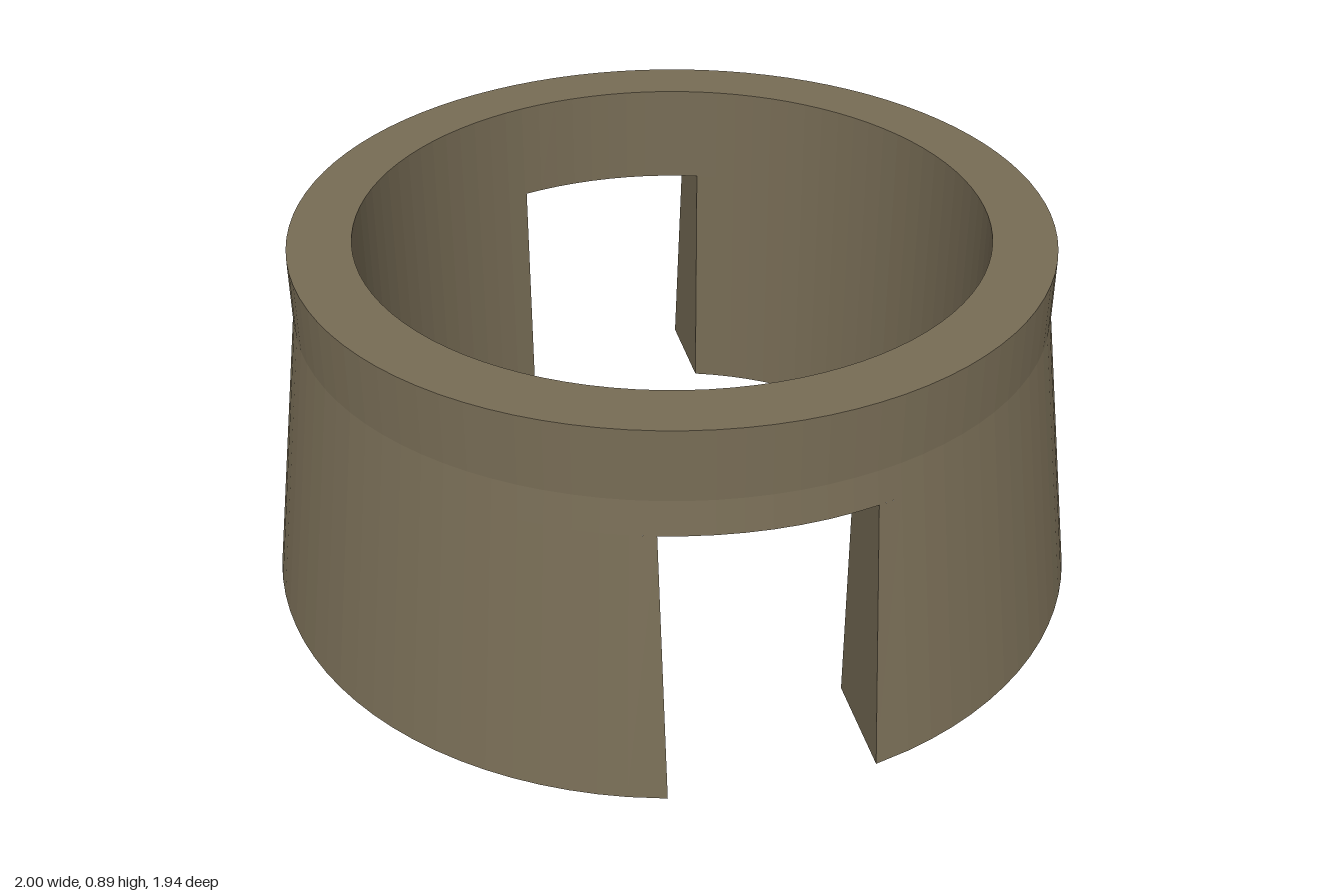
import * as THREE from 'three';

const SEG = 96, STEP = (Math.PI * 2) / SEG;
const HALF_SLOT = 0.237, SLOT_TOP = 0.64, TOP = 0.89, SHOULDER = 0.72;
const R_IN = 0.75, R_TOP = 0.9, R_BASE = 1.0;
const R_SLOT = R_TOP + (R_BASE - R_TOP) * (1 - SLOT_TOP / SHOULDER);

// Angle (from +z) at which a circle of radius r meets the slot's side
const slotAngle = (r) => Math.asin(HALF_SLOT / r);
const at = (r, y, a) => [r * Math.sin(a), y, r * Math.cos(a)];

// Angle lists, one function of radius per station
const grid = (k0, k1) => Array.from({ length: k1 - k0 + 1 }, (_, i) => () => (k0 + i) * STEP);
const fullTurn = grid(0, SEG);
const legTurn = [slotAngle, ...grid(5, SEG / 2 - 5), (r) => Math.PI - slotAngle(r)];
const slotTurn = [(r) => -slotAngle(r), ...grid(-4, 4), slotAngle];

// Sweeps a profile of [radius, height] points around the y axis
function sweep(profile, stations, caps = false) {
  const pos = [];
  const quad = (a, b, c, d) => pos.push(...a, ...b, ...c, ...a, ...c, ...d);
  for (let j = 0; j < profile.length - 1; j++) {
    const [p, q] = [profile[j], profile[j + 1]];
    for (let i = 0; i < stations.length - 1; i++) {
      const [s, t] = [stations[i], stations[i + 1]];
      quad(at(...p, s(p[0])), at(...p, t(p[0])), at(...q, t(q[0])), at(...q, s(q[0])));
    }
  }
  if (caps) {
    // Flat slot sides at both ends of the sweep
    const ends = [stations[0], stations[stations.length - 1]];
    const [a, b] = ends.map((f) => [
      [R_IN, 0], [R_BASE, 0], [R_SLOT, SLOT_TOP], [R_IN, SLOT_TOP],
    ].map(([r, y]) => at(r, y, f(r))));
    quad(...a);
    quad(...b.reverse());
  }
  const g = new THREE.BufferGeometry();
  g.setAttribute('position', new THREE.Float32BufferAttribute(pos, 3));
  g.computeVertexNormals();
  return g;
}

export function createModel() {
  const model = new THREE.Group();
  model.name = 'slottedCollar';
  const body = new THREE.MeshStandardMaterial({ color: 0x776c55, flatShading: true });
  body.name = 'olive brown';

  const add = (name, geometry, turn = 0) => {
    const mesh = new THREE.Mesh(geometry, body);
    mesh.name = name;
    mesh.rotation.y = turn;
    model.add(mesh);
  };

  // Unbroken upper ring
  add('upperRing', sweep([
    [R_SLOT, SLOT_TOP], [R_TOP, SHOULDER], [R_TOP, TOP], [R_IN, TOP], [R_IN, SLOT_TOP],
  ], fullTurn));

  // Flared half skirts, and the slot ceilings between them
  const skirt = sweep([
    [R_IN, SLOT_TOP], [R_IN, 0], [R_BASE, 0], [R_SLOT, SLOT_TOP],
  ], legTurn, true);
  const ceiling = sweep([[R_IN, SLOT_TOP], [R_SLOT, SLOT_TOP]], slotTurn);
  add('leftSkirt', skirt);
  add('rightSkirt', skirt, Math.PI);
  add('frontSlotCeiling', ceiling);
  add('backSlotCeiling', ceiling, Math.PI);

  return model;
}
